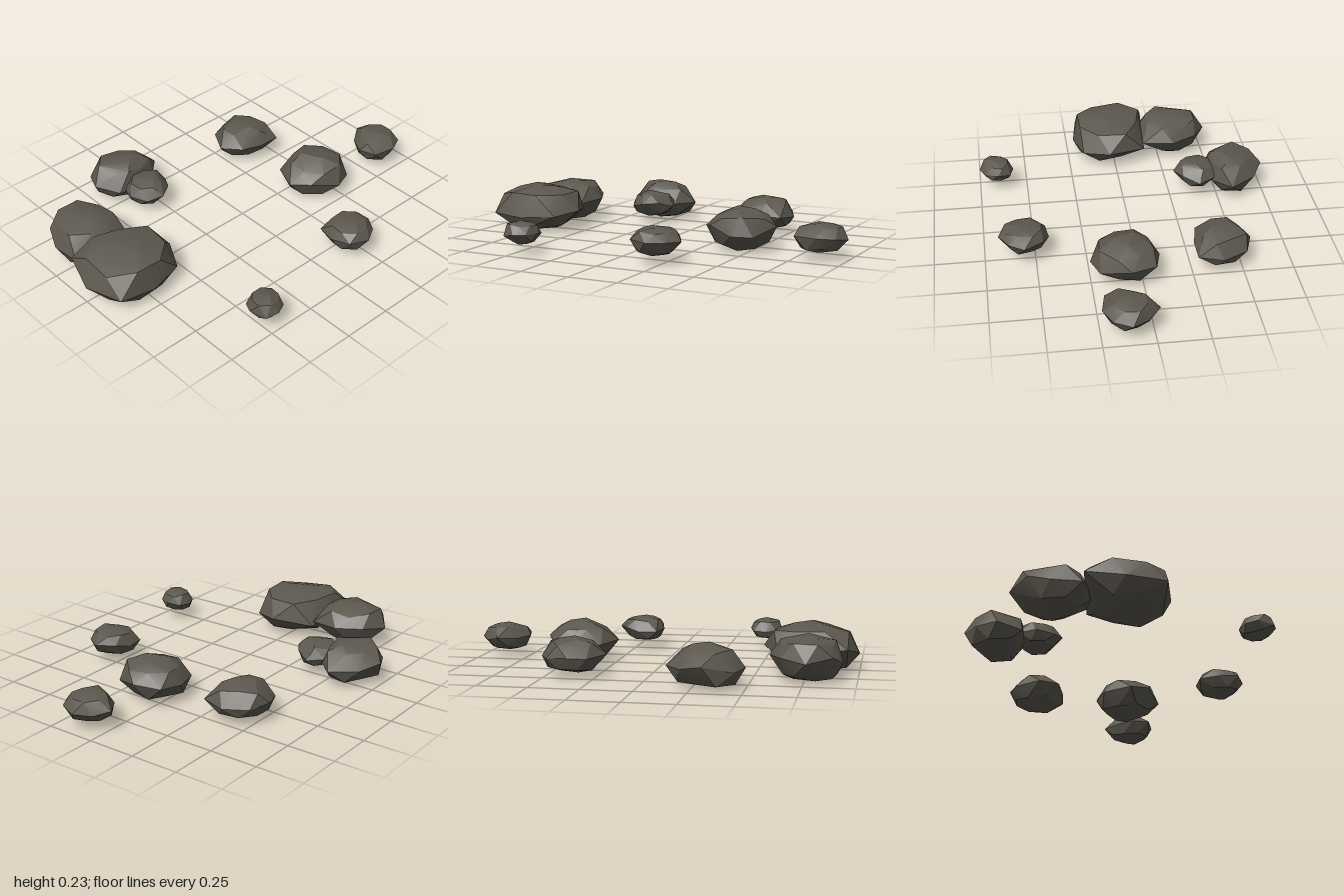
import * as THREE from 'three';
import { ConvexGeometry } from 'three/addons/geometries/ConvexGeometry.js';
import { toCreasedNormals } from 'three/addons/utils/BufferGeometryUtils.js';

const MIDDLE = 0.105; // height of every rock's widest outline

// Repeatable noise between -1 and 1
function seeded(seed) {
  let s = seed * 7919 + 17;
  return () => ((s = (s * 16807) % 2147483647) / 2147483647) * 2 - 1;
}

// Convex stone: widest outline, then a shoulder ring and a blunt cap above and below.
// radii are the reach in equal turns, starting at +x and going towards +z.
function rockGeometry(x, z, rise, radii, seed) {
  const noise = seeded(seed);
  const points = [];
  const add = (angle, radius, y) => points.push(new THREE.Vector3(
    x + Math.cos(angle) * radius, MIDDLE + y, z + Math.sin(angle) * radius));
  const step = (Math.PI * 2) / radii.length;

  radii.forEach((r, i) => add(i * step + noise() * 0.1, r, noise() * 0.22 * rise));
  for (const reach of [rise, -Math.min(rise, MIDDLE)]) {
    radii.forEach((r, i) => {
      const next = radii[(i + 1) % radii.length];
      const shoulder = ((r + next) / 2) * (0.73 + noise() * 0.1);
      add((i + 0.5) * step, shoulder, reach * (0.7 + noise() * 0.12));
      if (i % 3 === 0) add(i * step, r * 0.36, reach * (i === 0 ? 1 : 0.96));
    });
  }
  return toCreasedNormals(new ConvexGeometry(points), 0.4);
}

export function createModel() {
  const group = new THREE.Group();
  group.name = 'scatteredRocks';
  const stone = new THREE.MeshStandardMaterial({ color: 0x5c584f });
  stone.name = 'darkStone';

  const addRock = (name, x, z, rise, ...radii) => {
    const mesh = new THREE.Mesh(rockGeometry(x, z, rise, radii, group.children.length + 1), stone);
    mesh.name = name;
    group.add(mesh);
  };

  // Rear rocks
  addRock('rearRock', 0.11, -0.87, 0.07, 0.13, 0.15, 0.13, 0.11, 0.14, 0.11, 0.13, 0.13);
  addRock('rearRightRock', -0.41, -0.37, 0.085, 0.14, 0.155, 0.17, 0.15, 0.145, 0.15, 0.16, 0.19);
  addRock('rearMiddleRock', 0.07, -0.44, 0.105, 0.18, 0.17, 0.19, 0.175, 0.16, 0.18, 0.18, 0.18);

  // Left side
  addRock('leftRock', 0.55, -0.21, 0.066, 0.13, 0.13, 0.115, 0.14, 0.12, 0.12, 0.135, 0.12);
  addRock('frontLeftPebble', 0.66, 0.46, 0.056, 0.09, 0.095, 0.09, 0.09, 0.09, 0.095, 0.085, 0.085);

  // Right side pair
  addRock('rightRock', -0.57, 0.32, 0.1, 0.125, 0.15, 0.18, 0.18, 0.185, 0.17, 0.2, 0.145);
  addRock('rightPebble', -0.39, 0.3, 0.066, 0.115, 0.11, 0.12, 0.13, 0.11, 0.13, 0.12, 0.1);

  // Front pair
  addRock('frontRightRock', -0.32, 0.76, 0.112, 0.2, 0.21, 0.175, 0.175, 0.2, 0.175, 0.18, 0.215);
  addRock('frontRock', 0.02, 0.76, 0.13, 0.2, 0.25, 0.24, 0.275, 0.19, 0.24, 0.245, 0.235);
  return group;
}
